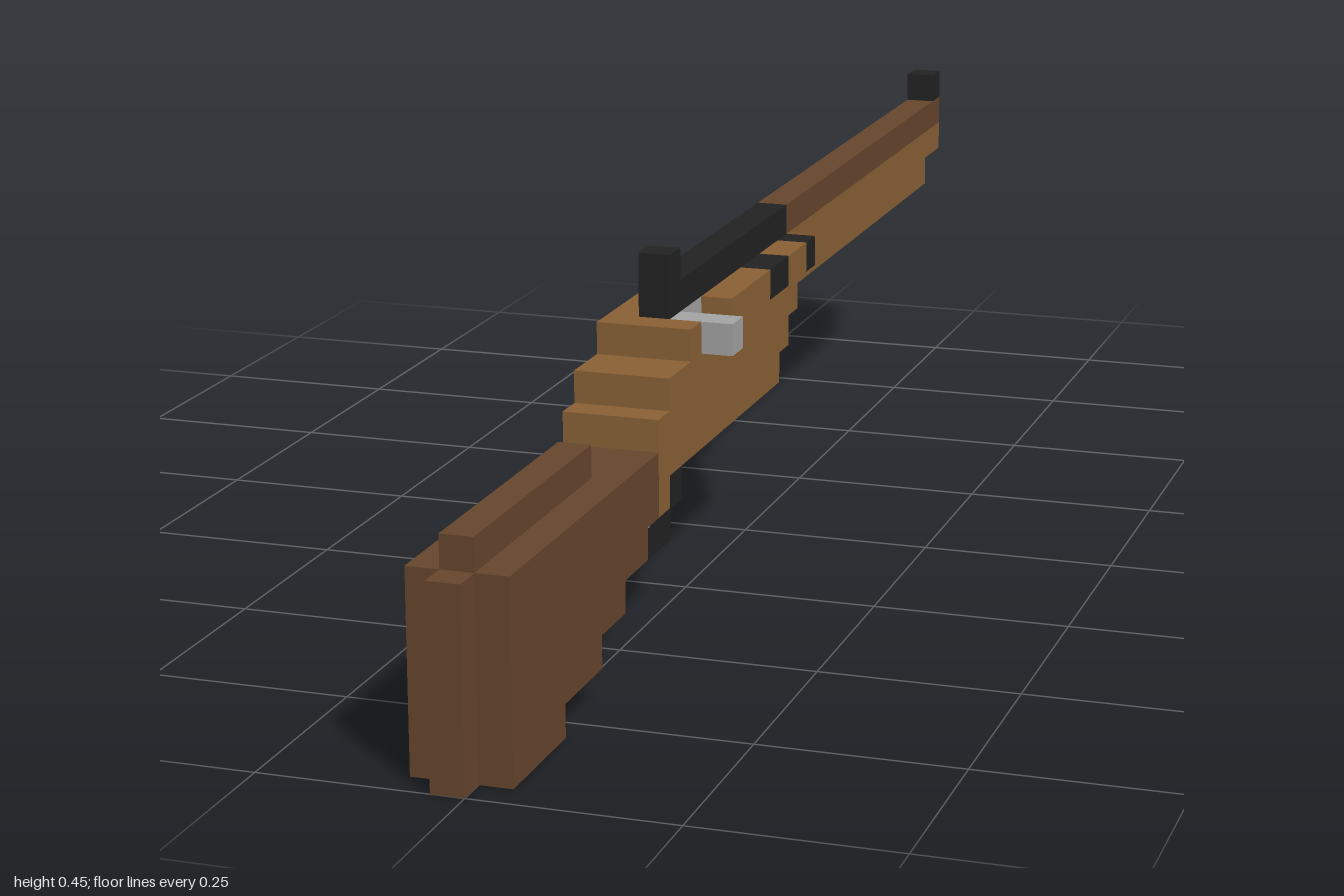
import * as THREE from 'three';

// All parts sit on one block grid: i across (x), j up (y), k from the butt end to the muzzle
const U = 2 / 49;
const zAt = (k) => 1 - k * U;

export function createModel() {
  const model = new THREE.Group();
  model.name = 'rifle';

  const material = (name, color) => {
    const m = new THREE.MeshStandardMaterial({ color });
    m.name = name;
    return m;
  };
  const darkWood = material('darkWood', 0x67462d);
  const lightWood = material('lightWood', 0x8a6136);
  const blackMetal = material('blackMetal', 0x222222);
  const greyMetal = material('greyMetal', 0xa4a4a4);

  const add = (name, geometry, mat) => {
    const mesh = new THREE.Mesh(geometry, mat);
    mesh.name = name;
    model.add(mesh);
  };

  // Box between grid lines
  const box = (name, mat, [i0, i1], [j0, j1], [k0, k1]) => {
    const g = new THREE.BoxGeometry((i1 - i0) * U, (j1 - j0) * U, (k1 - k0) * U);
    g.translate(((i0 + i1) / 2) * U, ((j0 + j1) / 2) * U, zAt((k0 + k1) / 2));
    add(name, g, mat);
  };

  // Side profile of [k, j] corners, extruded across the width
  const slab = (name, mat, [i0, i1], points) => {
    const shape = new THREE.Shape(points.map(([k, j]) => new THREE.Vector2(zAt(k), j * U)));
    const g = new THREE.ExtrudeGeometry(shape, { depth: (i1 - i0) * U, bevelEnabled: false });
    g.rotateY(-Math.PI / 2);
    g.translate(i1 * U, 0, 0);
    add(name, g, mat);
  };

  const CENTRE = [-1, 0];
  const WIDE = [-2, 1];

  // Shoulder stock with stepped underside
  slab('stock', darkWood, WIDE, [
    [1, 0], [5, 0], [5, 1], [8, 1], [8, 2], [10, 2], [10, 3],
    [12, 3], [12, 4], [13, 4], [13, 6], [1, 6],
  ]);
  box('buttRidge', darkWood, CENTRE, [0, 6], [0, 1]);
  box('cheekRidge', darkWood, CENTRE, [6, 7], [1, 10]);

  // Body in three layers; centre and left layers leave room for the bolt
  const rear = [[16, 9], [16, 8], [14, 8], [14, 7], [13, 7]];
  const belly = [[13, 4], [14, 4], [14, 5], [25, 5], [25, 6], [26, 6], [26, 7]];
  const sideNose = [[27, 7], [27, 8], [28, 8], [28, 9]];
  const centreNose = [[28, 7], [28, 9]];
  const clipNotch = [[26, 9], [26, 8], [24, 8], [24, 9]];
  const boltNotch = [[20, 9], [20, 8], [17, 8], [17, 9]];
  slab('bodyRight', lightWood, [-2, -1], [...belly, ...sideNose, ...clipNotch, ...rear]);
  slab('bodyCentre', lightWood, CENTRE, [...belly, ...centreNose, ...clipNotch, ...boltNotch, ...rear]);
  slab('bodyLeft', lightWood, [0, 1], [...belly, ...sideNose, ...clipNotch, ...boltNotch, ...rear]);

  // Bolt and its handle
  box('bolt', greyMetal, CENTRE, [8, 9], [17, 20]);
  box('boltHandle', greyMetal, [0, 2], [8, 9], [17, 18]);

  // Receiver, with the rear sight as a raised step
  slab('receiver', blackMetal, CENTRE, [[17, 9], [29, 9], [29, 10], [18, 10], [18, 11], [17, 11]]);
  box('receiverClip', blackMetal, WIDE, [8, 9], [24, 26]);
  box('barrelBand', blackMetal, WIDE, [8, 9], [28, 29]);
  box('barrelBandBase', blackMetal, CENTRE, [7, 8], [28, 29]);

  // Barrel, fore-end and front sight
  box('barrel', darkWood, CENTRE, [9, 10], [29, 49]);
  slab('foreEnd', lightWood, CENTRE, [[29, 7], [47, 7], [47, 8], [49, 8], [49, 9], [29, 9]]);
  box('frontSight', blackMetal, CENTRE, [10, 11], [48, 49]);

  // Trigger guard loop and trigger
  slab('triggerGuard', blackMetal, CENTRE, [
    [13, 2], [17, 2], [17, 3], [18, 3], [18, 5], [14, 5],
    [14, 4], [17, 4], [17, 3.001], [14, 3], [14, 4], [13, 4],
  ]);
  box('trigger', greyMetal, CENTRE, [3, 4], [14, 15]);

  return model;
}
